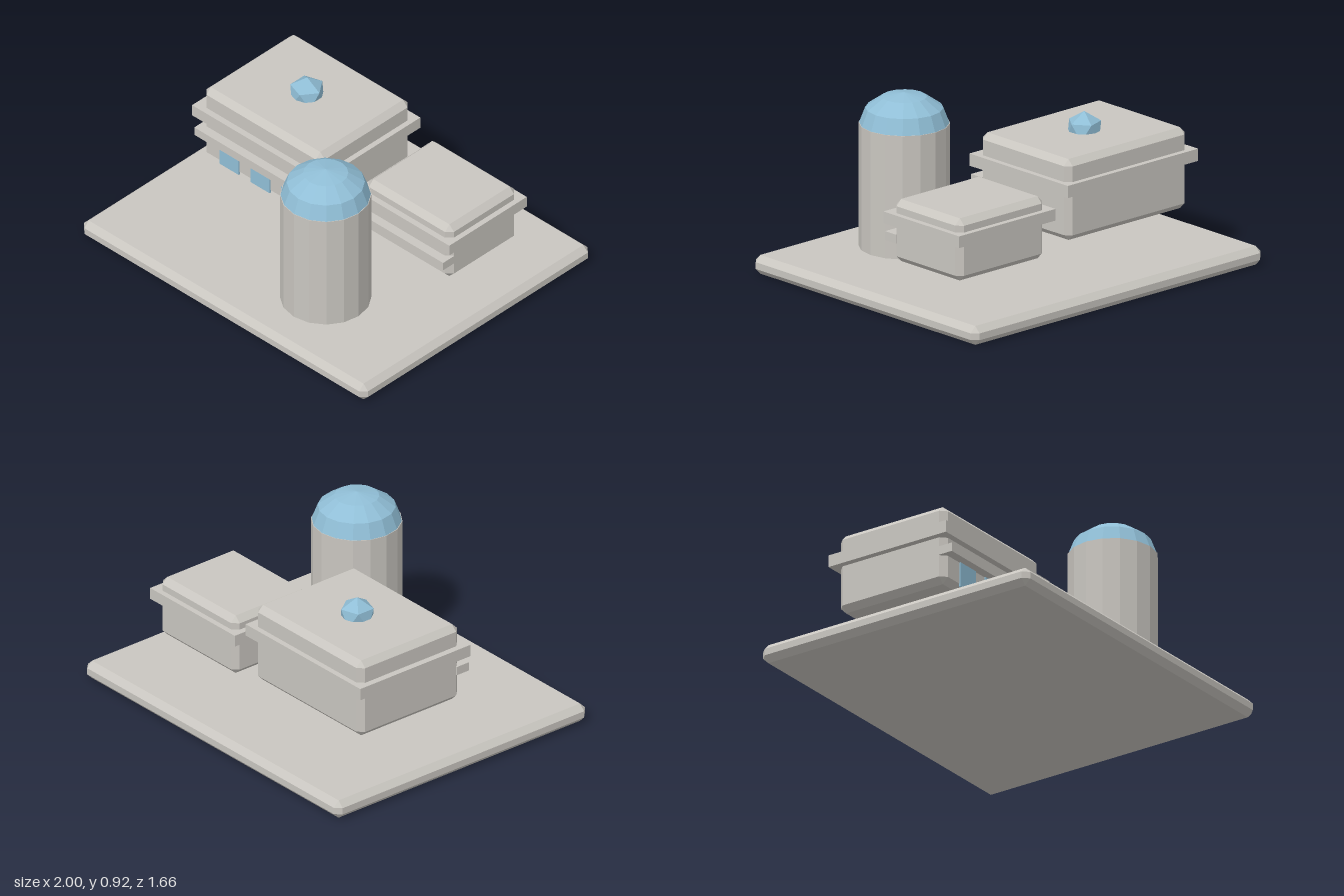
import * as THREE from 'three';
import { ConvexGeometry } from 'three/addons/geometries/ConvexGeometry.js';

const concrete = new THREE.MeshStandardMaterial({ color: 0xc9c6c0, flatShading: true });
concrete.name = 'concrete grey';
const glass = new THREE.MeshStandardMaterial({ color: 0x90bed6, flatShading: true });
glass.name = 'glass blue';

function add(parent, name, geometry, material) {
  const mesh = new THREE.Mesh(geometry, material);
  mesh.name = name;
  parent.add(mesh);
  return mesh;
}

// Plain box between two limits on each axis
function box(parent, name, [x0, x1], [y0, y1], [z0, z1], material = concrete) {
  const mesh = add(parent, name, new THREE.BoxGeometry(x1 - x0, y1 - y0, z1 - z0), material);
  mesh.position.set((x0 + x1) / 2, (y0 + y1) / 2, (z0 + z1) / 2);
  return mesh;
}

// Box with every edge and corner cut by a chamfer
function chamferBox(parent, name, [x0, x1], [y0, y1], [z0, z1], c = 0.032) {
  const w = (x1 - x0) / 2, h = (y1 - y0) / 2, d = (z1 - z0) / 2;
  const points = [];
  for (const sx of [-1, 1]) for (const sy of [-1, 1]) for (const sz of [-1, 1]) {
    points.push(
      new THREE.Vector3(sx * w, sy * (h - c), sz * (d - c)),
      new THREE.Vector3(sx * (w - c), sy * h, sz * (d - c)),
      new THREE.Vector3(sx * (w - c), sy * (h - c), sz * d));
  }
  const mesh = add(parent, name, new ConvexGeometry(points), concrete);
  mesh.position.set((x0 + x1) / 2, (y0 + y1) / 2, (z0 + z1) / 2);
  return mesh;
}

// Twenty-sided crystal with one corner pointing straight up
function crystalGeometry(r) {
  const points = [new THREE.Vector3(0, r, 0), new THREE.Vector3(0, -r, 0)];
  const ring = r * 2 / Math.sqrt(5), rise = r / Math.sqrt(5);
  for (let i = 0; i < 10; i++) {
    const a = i * Math.PI / 5;
    points.push(new THREE.Vector3(ring * Math.cos(a), i % 2 ? -rise : rise, ring * Math.sin(a)));
  }
  return new ConvexGeometry(points);
}

export function createModel() {
  const model = new THREE.Group();
  model.name = 'building complex';

  // Ground slab
  chamferBox(model, 'baseSlab', [-1, 1], [0, 0.1], [-0.83, 0.83]);

  // Main block with roof band, front canopy and windows
  const main = new THREE.Group();
  main.name = 'mainBlock';
  model.add(main);
  chamferBox(main, 'mainWalls', [-0.785, 0.05], [0.27, 0.7], [-0.5, 0.165]);
  box(main, 'mainBand', [-0.82, 0.08], [0.52, 0.585], [-0.53, 0.2]);
  box(main, 'mainCanopy', [-0.79, 0.055], [0.42, 0.467], [0.135, 0.215]);
  for (const x of [-0.587, -0.369, -0.152]) {
    box(main, 'window', [x - 0.068, x + 0.068], [0.285, 0.42], [0.163, 0.172], glass);
  }

  // Crystal skylight set into the roof
  add(main, 'skylight', crystalGeometry(0.097), glass).position.set(-0.368, 0.703, -0.17);

  // Side block
  const side = new THREE.Group();
  side.name = 'sideBlock';
  model.add(side);
  chamferBox(side, 'sideWalls', [0.2, 0.8], [0.22, 0.55], [-0.5, 0]);
  box(side, 'sideBand', [0.165, 0.83], [0.42, 0.482], [-0.53, 0.033]);
  box(side, 'sideCanopy', [0.19, 0.803], [0.32, 0.367], [-0.03, 0.05]);

  // Round tower with a squashed glass dome
  const tower = new THREE.Group();
  tower.name = 'tower';
  tower.position.set(0.33, 0, 0.415);
  model.add(tower);
  add(tower, 'towerWall', new THREE.CylinderGeometry(0.232, 0.232, 0.665, 16), concrete).position.y = 0.4225;
  const dome = add(tower, 'towerDome',
    new THREE.SphereGeometry(0.229, 16, 3, 0, Math.PI * 2, 0, Math.PI / 2), glass);
  dome.position.y = 0.755;
  dome.scale.y = 0.7;

  return model;
}
